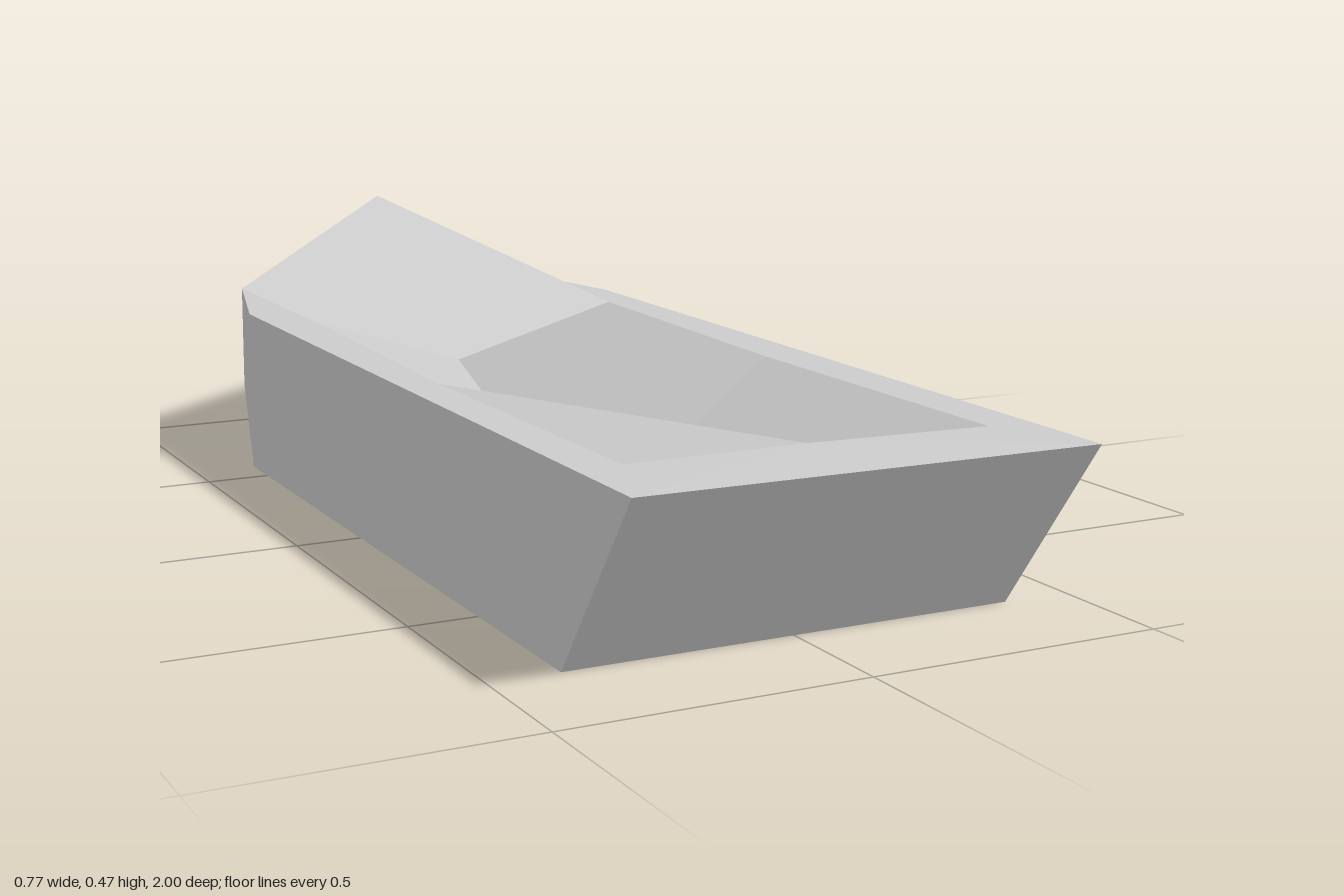
import * as THREE from 'three';

// Fans each panel into triangles and gives it one averaged normal, so panels read as single facets.
function panelMesh(name, panels, material) {
  const pos = [], nor = [];
  for (const panel of panels) {
    const p = panel.map(q => new THREE.Vector3(...q));
    const n = new THREE.Vector3();
    for (let i = 1; i < p.length - 1; i++) {
      n.add(p[i].clone().sub(p[0]).cross(p[i + 1].clone().sub(p[0])));
    }
    n.normalize();
    for (let i = 1; i < p.length - 1; i++) {
      for (const v of [p[0], p[i], p[i + 1]]) {
        pos.push(v.x, v.y, v.z);
        nor.push(n.x, n.y, n.z);
      }
    }
  }
  const geo = new THREE.BufferGeometry();
  geo.setAttribute('position', new THREE.Float32BufferAttribute(pos, 3));
  geo.setAttribute('normal', new THREE.Float32BufferAttribute(nor, 3));
  const mesh = new THREE.Mesh(geo, material);
  mesh.name = name;
  return mesh;
}

// Corner points of one side of the boat; the two sides differ slightly.
function sidePoints(s) {
  const left = s > 0, y = left ? 0.296 : 0.302;
  return {
    s,
    sternTop: [0.385 * s, y, 1],
    kinkTop: [0.385 * s, y, -0.58],
    shoulder: [left ? 0.32 : -0.3, y, -0.89],
    sternLow: [0.385 * s, 0, 0.79],
    kinkLow: [0.385 * s, 0, -0.58],
    chin: [left ? 0.3 : -0.31, 0.105, -0.86],
    belly: [0.3 * s, 0, -0.47],
    wellFront: [0.31 * s, y, 0.83],
    wellMid: [left ? 0.3 : -0.32, y, 0.2],
    wellBack: [left ? 0.32 : -0.3, y, -0.44],
  };
}

export function createModel() {
  const group = new THREE.Group();
  group.name = 'boat';
  const material = new THREE.MeshStandardMaterial({ color: 0xcccccc });

  // Points on the centre line
  const keelFront = [-0.01, 0.302, 0.83], keelMid = [-0.05, 0.02, 0.2], keelBack = [0.03, 0.187, -0.53];
  const bowTip = [0.045, 0.465, -1], bowChin = [0, 0.14, -0.87];

  const L = sidePoints(1), R = sidePoints(-1);
  const hull = [
    [R.sternLow, L.sternLow, L.sternTop, R.sternTop], // transom
    [L.sternLow, R.sternLow, R.belly, L.belly], // flat bottom
    [L.belly, R.belly, R.chin, bowChin, L.chin], // rising forefoot
  ];
  const rim = [[L.sternTop, keelFront, R.sternTop]];
  const well = [];
  const deck = [[bowTip, R.shoulder, R.wellBack, keelBack, L.wellBack, L.shoulder]];

  // Panels that repeat on both sides, with the winding reversed on the right.
  for (const p of [L, R]) {
    const add = (list, ...pts) =>
      list.push(p.s > 0 ? pts : [pts[0], ...pts.slice(1).reverse()]);
    add(hull, p.sternLow, p.kinkLow, p.kinkTop, p.sternTop);
    add(hull, p.kinkLow, p.chin, p.shoulder, p.kinkTop);
    add(hull, p.chin, bowChin, bowTip, p.shoulder);
    add(hull, p.sternLow, p.belly, p.kinkLow);
    add(hull, p.kinkLow, p.belly, p.chin);
    add(rim, p.sternTop, p.kinkTop, p.wellMid, p.wellFront);
    add(rim, p.kinkTop, p.shoulder, p.wellBack, p.wellMid);
    add(rim, p.sternTop, p.wellFront, keelFront);
    add(well, keelFront, p.wellFront, p.wellMid, keelMid);
    add(well, p.wellMid, p.wellBack, keelBack, keelMid);
  }

  group.add(
    panelMesh('hull', hull, material),
    panelMesh('rim', rim, material),
    panelMesh('well', well, material),
    panelMesh('bowDeck', deck, material),
  );
  return group;
}
